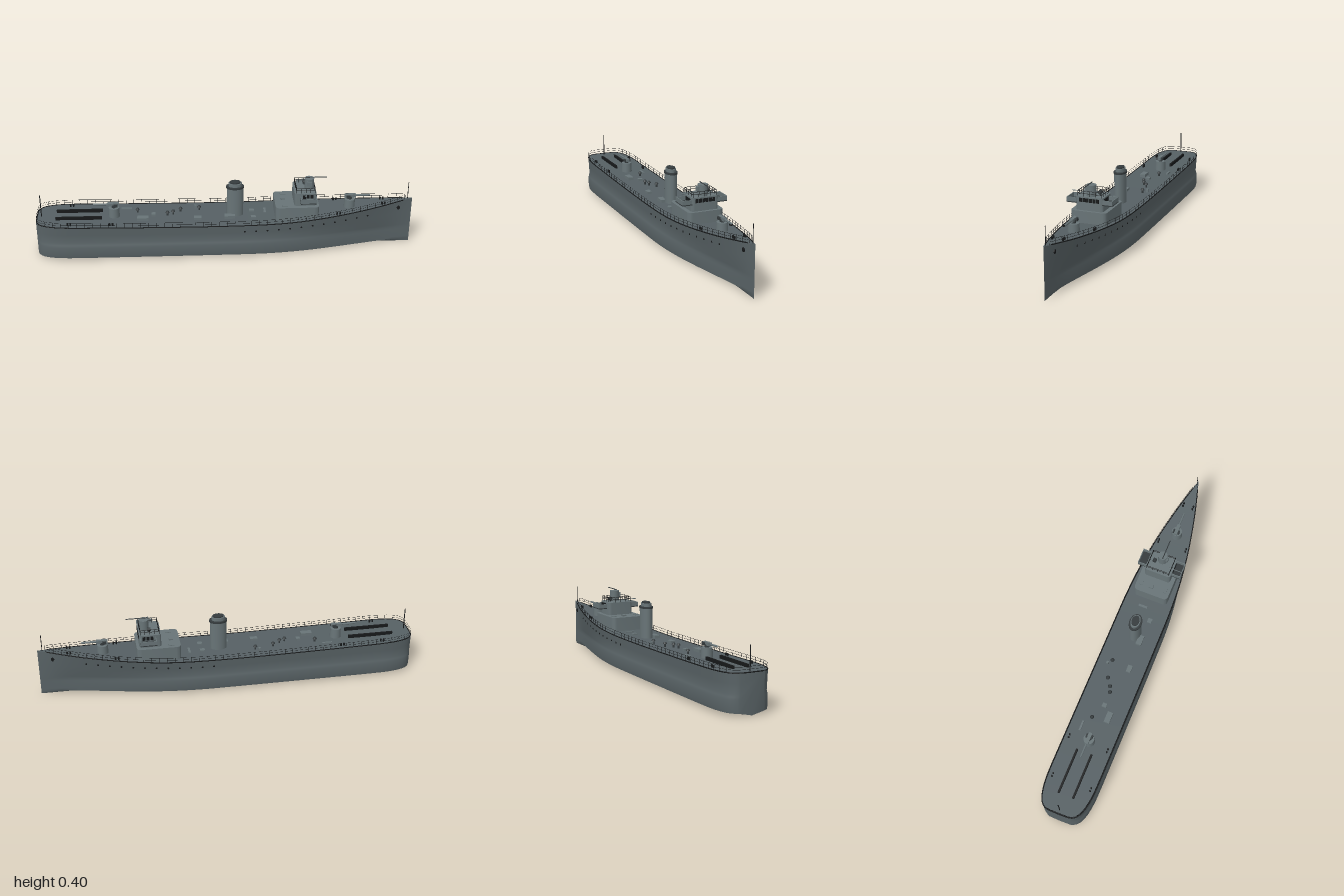
import * as THREE from 'three';
import { toCreasedNormals } from 'three/addons/utils/BufferGeometryUtils.js';

const mat = (name, color, side = THREE.FrontSide) => {
  const m = new THREE.MeshStandardMaterial({ color, side });
  m.name = name;
  return m;
};

// Smooth interpolation through [x, value] pairs
function smooth(t) {
  const slope = (i) => {
    const a = t[Math.max(i - 1, 0)], b = t[Math.min(i + 1, t.length - 1)];
    return (b[1] - a[1]) / (b[0] - a[0]);
  };
  return (x) => {
    let i = 0;
    while (i < t.length - 2 && x > t[i + 1][0]) i++;
    const h = t[i + 1][0] - t[i][0], s = (x - t[i][0]) / h, r = 1 - s;
    return t[i][1] * (1 + 2 * s) * r * r + t[i + 1][1] * (3 - 2 * s) * s * s
      + h * (slope(i) * s * r * r - slope(i + 1) * s * s * r);
  };
}
const deckY = smooth([[-1, 0.203], [-0.5, 0.194], [0, 0.19], [0.3, 0.196], [0.5, 0.209], [0.75, 0.233], [1, 0.265]]);
const stern = [[-1, 0.065], [-0.985, 0.09], [-0.96, 0.108], [-0.92, 0.121], [-0.86, 0.13], [-0.75, 0.133], [0.1, 0.133]];
const deckW = smooth([...stern, [0.25, 0.131], [0.4, 0.122], [0.55, 0.104], [0.7, 0.077], [0.85, 0.043], [1, 0.001]]);
const lowW = smooth([...stern, [0.25, 0.127], [0.4, 0.11], [0.55, 0.083], [0.7, 0.051], [0.85, 0.02], [1, 0.001]]);

// Half section from deck edge to keel: [half width, height]
function section(x) {
  const w = deckW(x), b = lowW(x), y = deckY(x);
  const waist = b * 0.78 + w * 0.17;
  return [[w, y], [w * 0.5 + waist * 0.5, (y + 0.105) / 2], [waist, 0.105], [b * 0.985, 0.092],
    [b * 1.01, 0.078], [b * 1.01, 0.03], [b * 0.985, 0.016], [0, 0.001]];
}
// Half width of the side at a given height
function sideZ(x, y) {
  const s = section(x);
  for (let i = 0; i < s.length - 1; i++) {
    if (y <= s[i][1] && y >= s[i + 1][1]) {
      return THREE.MathUtils.mapLinear(y, s[i][1], s[i + 1][1], s[i][0], s[i + 1][0]);
    }
  }
  return s[0][0];
}

export function createModel() {
  const ship = new THREE.Group();
  ship.name = 'ship';
  const hullM = mat('hull grey', 0x596366);
  const deckM = mat('deck grey', 0x566064);
  const houseM = mat('superstructure grey', 0x687477);
  const blackM = mat('black fittings', 0x17191a, THREE.DoubleSide);
  const darkM = mat('dark grey', 0x353b3d);

  const add = (name, geo, m, x = 0, y = 0, z = 0, parent = ship) => {
    const mesh = new THREE.Mesh(geo, m);
    mesh.name = name;
    mesh.position.set(x, y, z);
    parent.add(mesh);
    return mesh;
  };
  const box = (name, m, x, y, z, w, h, d, p) => add(name, new THREE.BoxGeometry(w, h, d), m, x, y + h / 2, z, p);
  const cyl = (name, m, x, y, z, r, h, r2 = r, p = ship) =>
    add(name, new THREE.CylinderGeometry(r2, r, h, 20), m, x, y + h / 2, z, p);
  const rod = (name, m, a, b, r, p = ship) => add(name,
    new THREE.TubeGeometry(new THREE.LineCurve3(new THREE.Vector3(...a), new THREE.Vector3(...b)), 1, r, 8), m, 0, 0, 0, p);
  // Block with rounded plan corners
  const house = (name, m, x0, x1, hz, y0, y1, r) => {
    const s = new THREE.Shape();
    s.moveTo(x0 + r, -hz).lineTo(x1 - r, -hz).quadraticCurveTo(x1, -hz, x1, -hz + r);
    s.lineTo(x1, hz - r).quadraticCurveTo(x1, hz, x1 - r, hz);
    s.lineTo(x0 + r, hz).quadraticCurveTo(x0, hz, x0, hz - r);
    s.lineTo(x0, r - hz).quadraticCurveTo(x0, -hz, x0 + r, -hz);
    const g = new THREE.ExtrudeGeometry(s, { depth: y1 - y0, bevelEnabled: false, curveSegments: 6 });
    return add(name, toCreasedNormals(g.rotateX(-Math.PI / 2), 0.6), m, 0, y0, 0);
  };

  // Hull and deck from cross-sections
  const xs = [-1, -0.995, -0.985, -0.97, -0.95, -0.92, -0.88, -0.83];
  for (let i = 0; i <= 36; i++) xs.push(-0.75 + 1.75 * i / 36);
  const pos = [], idx = [], deckPos = [], deckIdx = [];
  const n = 15;
  xs.forEach((x, i) => {
    const half = section(x);
    half.forEach(([z, y]) => pos.push(x, y, z));
    half.slice(0, -1).reverse().forEach(([z, y]) => pos.push(x, y, -z));
    deckPos.push(x, half[0][1], half[0][0], x, half[0][1], -half[0][0]);
    if (i === xs.length - 1) return;
    for (let j = 0; j < n - 1; j++) {
      const a = i * n + j, b = a + n;
      idx.push(a, a + 1, b, b, a + 1, b + 1);
    }
    const d = i * 2;
    deckIdx.push(d, d + 2, d + 1, d + 1, d + 2, d + 3);
  });
  for (let j = 1; j < n - 1; j++) idx.push(0, j + 1, j);
  const surface = (p, ix) => {
    const g = new THREE.BufferGeometry();
    g.setAttribute('position', new THREE.Float32BufferAttribute(p, 3));
    g.setIndex(ix);
    return toCreasedNormals(g, 0.75);
  };
  add('hull', surface(pos, idx), hullM);
  add('deck', surface(deckPos, deckIdx), deckM);

  // Gunwale and guard rails around the deck edge
  const edge = (inset, h) => {
    const side = xs.filter((x) => x < 0.985).reverse().map((x) => [x, deckW(x) - inset]);
    const pts = side.map(([x, z]) => new THREE.Vector3(Math.max(x, -1 + inset), deckY(x) + h, z));
    const back = pts.map((p) => new THREE.Vector3(p.x, p.y, -p.z)).reverse();
    return new THREE.CatmullRomCurve3([...pts, ...back], false, 'centripetal');
  };
  add('gunwale', new THREE.TubeGeometry(edge(0.002, 0), 220, 0.003, 5), blackM);
  for (const h of [0.014, 0.027]) add('guardRail', new THREE.TubeGeometry(edge(0.003, h), 220, 0.0008, 4), blackM);
  for (let i = 0; i <= 46; i++) {
    const x = -0.95 + i * 0.0415, y = deckY(x), z = deckW(x) - 0.003;
    for (const s of [1, -1]) rod('railPost', blackM, [x, y, z * s], [x, y + 0.027, z * s], 0.001);
  }

  // Portholes and anchors, mirrored
  for (const s of [1, -1]) {
    for (let i = 0; i < 12; i++) {
      const x = 0.095 + i * 0.06, y = 0.154 + 0.04 * (i / 11) ** 1.6;
      add('porthole', new THREE.CylinderGeometry(0.005, 0.005, 0.004, 12).rotateX(Math.PI / 2), blackM, x, y, s * sideZ(x, y));
    }
    const az = sideZ(0.925, 0.218);
    add('anchor', new THREE.CylinderGeometry(0.009, 0.009, 0.009, 12).rotateX(Math.PI / 2), blackM, 0.925, 0.218, s * az);
    box('anchorShank', blackM, 0.925, 0.207, s * az, 0.006, 0.022, 0.009);
    // Mine rails and bollards
    box('mineRail', blackM, -0.778, 0.199, s * 0.04, 0.245, 0.017, 0.01);
    for (const [x, z] of [[-0.825, 0.105], [-0.605, 0.107], [0.595, 0.08], [0.84, 0.028]]) {
      for (const d of [-0.008, 0.008]) cyl('bollard', blackM, x + d, deckY(x), s * z, 0.0045, 0.014);
    }
  }

  // Bridge: deckhouse, wheelhouse, wings
  house('deckhouse', houseM, 0.26, 0.49, 0.095, 0.18, 0.27, 0.025);
  house('wheelhouse', houseM, 0.36, 0.475, 0.073, 0.265, 0.34, 0.016);
  for (let i = 0; i < 6; i++) box('bridgeWindow', blackM, 0.475, 0.313, -0.045 + i * 0.018, 0.004, 0.02, 0.015);
  for (const s of [1, -1]) {
    for (let i = 0; i < 3; i++) box('sideWindow', blackM, 0.41 + i * 0.02, 0.313, s * 0.073, 0.015, 0.02, 0.004);
    box('wingFloor', darkM, 0.43, 0.303, s * 0.095, 0.085, 0.005, 0.052);
    box('wingEnd', houseM, 0.43, 0.307, s * 0.119, 0.085, 0.023, 0.004);
    for (const x of [0.39, 0.47]) box('wingScreen', houseM, x, 0.307, s * 0.095, 0.004, 0.023, 0.048);
    box('deckhouseLocker', houseM, 0.31, 0.268, s * 0.068, 0.03, 0.006, 0.02);
  }
  box('deckhouseHatch', houseM, 0.305, 0.268, -0.01, 0.022, 0.01, 0.022);

  // Bridge roof rail
  const corners = [[0.37, 0.063], [0.468, 0.063], [0.468, -0.063], [0.37, -0.063], [0.37, 0.063]];
  for (let i = 0; i < 4; i++) {
    const [ax, az] = corners[i], [bx, bz] = corners[i + 1];
    for (const y of [0.354, 0.367]) rod('roofRail', blackM, [ax, y, az], [bx, y, bz], 0.0013);
    for (let k = 0; k < 4; k++) {
      const x = ax + (bx - ax) * k / 4, z = az + (bz - az) * k / 4;
      rod('roofPost', blackM, [x, 0.338, z], [x, 0.367, z], 0.0013);
    }
  }

  // Director tower with sight bar, searchlight and side gun
  cyl('directorTower', houseM, 0.443, 0.338, 0, 0.025, 0.059);
  box('directorBox', houseM, 0.44, 0.362, 0.026, 0.025, 0.024, 0.012);
  rod('sightBar', darkM, [0.42, 0.403, 0.005], [0.535, 0.403, 0.005], 0.0025);
  cyl('searchlightPost', darkM, 0.42, 0.338, -0.037, 0.004, 0.012);
  add('searchlight', new THREE.CylinderGeometry(0.01, 0.01, 0.018, 16).rotateZ(Math.PI / 2), darkM, 0.42, 0.356, -0.037);
  rod('sideGun', houseM, [0.41, 0.347, 0.042], [0.41, 0.347, 0.119], 0.002);

  // Oval funnel with cap
  const oval = (name, m, y, r, h) => { cyl(name, m, 0.05, y, 0, r, h).scale.z = 0.7; };
  oval('funnel', houseM, 0.18, 0.044, 0.17);
  oval('funnelBand', darkM, 0.35, 0.048, 0.01);
  oval('funnelCap', houseM, 0.36, 0.036, 0.018);
  oval('funnelTop', darkM, 0.374, 0.029, 0.011);

  // Deck guns
  const gun = (name, x, y, dir) => {
    const g = new THREE.Group();
    g.name = name;
    g.position.set(x, y, 0);
    g.scale.x = 1;
    g.rotation.y = dir > 0 ? 0 : Math.PI;
    cyl('gunMount', houseM, 0, -0.01, 0, 0.03, 0.055, 0.028, g);
    cyl('gunPivot', darkM, 0, 0.04, 0, 0.012, 0.02, 0.012, g);
    box('gunBreech', houseM, 0.002, 0.055, 0, 0.06, 0.016, 0.018, g);
    rod('gunBarrel', houseM, [0.02, 0.064, 0], [0.108, 0.064, 0], 0.0055, g);
    for (const s of [1, -1]) box('gunSight', darkM, -0.01, 0.054, s * 0.014, 0.02, 0.014, 0.008, g);
    ship.add(g);
  };
  gun('aftGun', -0.593, 0.202, -1);
  gun('foreGun', 0.663, 0.224, 1);

  // Flagstaffs
  rod('ensignStaff', blackM, [-0.978, 0.2, 0], [-0.978, 0.325, 0], 0.0025);
  rod('jackStaff', blackM, [0.975, 0.255, 0], [0.975, 0.355, 0], 0.0018);

  // Deck hatches: x, z, length, height, width
  for (const [x, z, l, h, w] of [[-0.44, 0.045, 0.06, 0.018, 0.03], [-0.385, 0, 0.022, 0.014, 0.024],
    [-0.15, 0.045, 0.04, 0.014, 0.025], [0.02, 0.038, 0.055, 0.018, 0.03], [0.14, -0.025, 0.026, 0.01, 0.022],
    [0.145, 0.045, 0.026, 0.01, 0.024], [0.21, -0.02, 0.012, 0.008, 0.05], [-0.53, -0.07, 0.055, 0.01, 0.01],
    [-0.16, -0.075, 0.012, 0.02, 0.012]]) box('hatch', houseM, x, deckY(x) - 0.002, z, l, h, w);
  // Mushroom vents
  for (const [x, z] of [[-0.31, 0], [-0.28, -0.012], [-0.24, -0.04], [-0.14, -0.055], [-0.47, -0.035]]) {
    cyl('ventPipe', darkM, x, deckY(x) - 0.002, z, 0.005, 0.02);
    cyl('ventCap', darkM, x, deckY(x) + 0.016, z, 0.011, 0.009, 0.006);
  }
  return ship;
}
